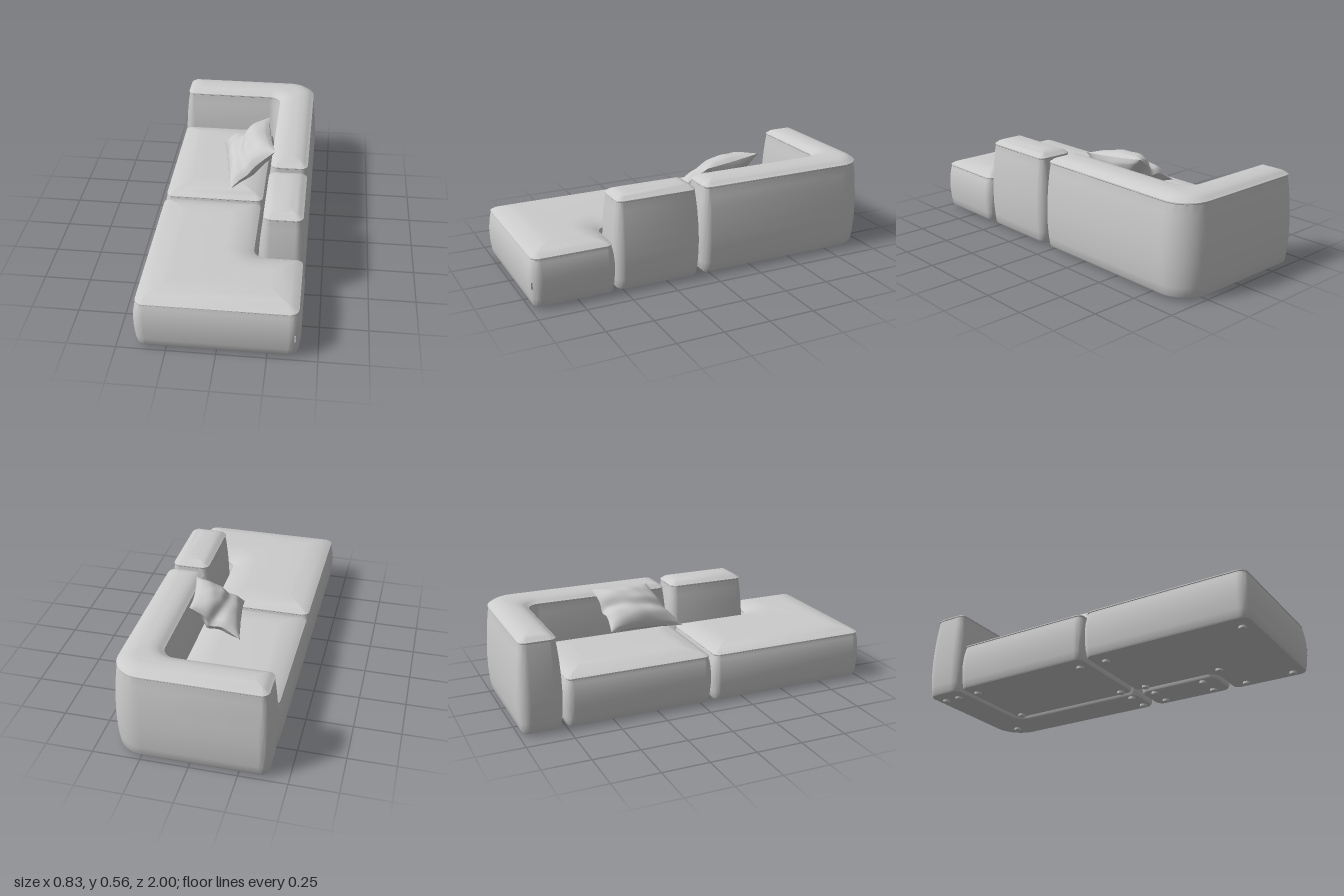
import * as THREE from 'three';
import { toCreasedNormals } from 'three/addons/utils/BufferGeometryUtils.js';

const material = new THREE.MeshStandardMaterial({ color: 0xcccccc });
const STEPS = 10; // segments per rounded corner

// Inset a right-angled outline of [x, z, radius] corners by d and round its corners.
// The corners run counterclockwise seen from above; the result is in (x, -z).
function ring(corners, d) {
  const pts = corners.map(([x, z]) => new THREE.Vector2(x, -z));
  const n = pts.length;
  const inward = pts.map((p, i) => {
    const e = pts[(i + 1) % n].clone().sub(p).normalize();
    return new THREE.Vector2(-e.y, e.x);
  });
  const out = [];
  pts.forEach((p, i) => {
    const a = inward[(i + n - 1) % n], b = inward[i];
    const sign = a.cross(b) > 0 ? 1 : -1; // convex or concave corner
    const r = Math.max(corners[i][2] - sign * d, 0.006);
    const c = p.clone().addScaledVector(a, d + sign * r).addScaledVector(b, d + sign * r);
    for (let k = 0; k <= STEPS; k++) {
      const t = (k / STEPS) * Math.PI / 2;
      out.push(c.clone().addScaledVector(a, -sign * r * Math.cos(t))
        .addScaledVector(b, -sign * r * Math.sin(t)));
    }
  });
  return out;
}

// Upholstered block: the outline lofted through a profile of [inset, height].
function block(name, corners, profile) {
  const rings = profile.map(([d]) => ring(corners, d));
  const m = rings[0].length;
  const positions = [], index = [];
  rings.forEach((r, k) => r.forEach((p) => positions.push(p.x, profile[k][1], -p.y)));
  for (let k = 0; k < rings.length - 1; k++) {
    for (let i = 0; i < m; i++) {
      const j = (i + 1) % m;
      const a = k * m + i, b = k * m + j, c = b + m, d = a + m;
      index.push(a, b, c, a, c, d);
    }
  }
  const top = (rings.length - 1) * m;
  for (const [a, b, c] of THREE.ShapeUtils.triangulateShape(rings[0], [])) index.push(a, c, b);
  for (const [a, b, c] of THREE.ShapeUtils.triangulateShape(rings[rings.length - 1], [])) {
    index.push(top + a, top + b, top + c);
  }
  const geo = new THREE.BufferGeometry();
  geo.setAttribute('position', new THREE.Float32BufferAttribute(positions, 3));
  geo.setIndex(index);
  const mesh = new THREE.Mesh(toCreasedNormals(geo, 0.6), material);
  mesh.name = name;
  return mesh;
}

// Bulging walls, a piped seam, then a soft domed top
const lowProfile = [
  [0.035, 0.012], [0.018, 0.015], [0.012, 0.025], [0.006, 0.06], [0.001, 0.11], [0, 0.16],
  [0.004, 0.21], [0.012, 0.25], [0.017, 0.265], [0.014, 0.268], [0.014, 0.273], [0.02, 0.276],
  [0.035, 0.284], [0.06, 0.293], [0.09, 0.301], [0.125, 0.307], [0.16, 0.309],
];
const tallProfile = [
  [0.035, 0.012], [0.018, 0.015], [0.012, 0.025], [0.006, 0.07], [0.001, 0.14], [0, 0.21],
  [0.003, 0.29], [0.009, 0.37], [0.017, 0.44], [0.024, 0.485], [0.021, 0.488], [0.021, 0.494],
  [0.028, 0.497], [0.04, 0.507], [0.06, 0.516], [0.08, 0.521], [0.104, 0.524],
];

const cornerBack = [
  [0.165, 0.055, 0.06], [0.41, 0.055, 0.06], [0.41, -1, 0.17],
  [-0.412, -1, 0.06], [-0.412, -0.765, 0.06], [0.165, -0.765, 0.05],
];
const seat = [
  [-0.413, 0.06, 0.05], [0.16, 0.06, 0.05], [0.16, -0.765, 0.05], [-0.413, -0.765, 0.05],
];
const armBlock = [
  [0.163, 0.55, 0.06], [0.41, 0.55, 0.06], [0.41, 0.06, 0.06], [0.163, 0.06, 0.06],
];
const chaise = [
  [-0.413, 1, 0.06], [0.413, 1, 0.06], [0.413, 0.545, 0.05],
  [0.155, 0.545, 0.05], [0.155, 0.06, 0.05], [-0.413, 0.06, 0.05],
];

// Throw pillow: two bulged faces on a slanted patch, with a chopped fold
function pillow() {
  const group = new THREE.Group();
  group.name = 'throwPillow';
  const lowBack = new THREE.Vector3(-0.12, 0.385, -0.41);
  const lowFront = new THREE.Vector3(-0.04, 0.335, 0.045);
  const highBack = new THREE.Vector3(0.145, 0.552, -0.425);
  const highFront = new THREE.Vector3(0.205, 0.53, -0.075);
  const normal = new THREE.Vector3(-0.6, 0.8, 0);
  for (const side of [1, -1]) {
    const geo = new THREE.PlaneGeometry(2, 2, 32, 32);
    const pos = geo.attributes.position;
    for (let i = 0; i < pos.count; i++) {
      const u = pos.getY(i), v = side * pos.getX(i);
      const eu = 1 - u * u, ev = 1 - v * v;
      // edges draw in between the corners
      const s = (u * (1 - 0.09 * ev) + 1) / 2, t = (v * (1 - 0.09 * eu) + 1) / 2;
      const p = lowBack.clone().lerp(lowFront, t)
        .lerp(highBack.clone().lerp(highFront, t), s);
      const fold = Math.exp(-((u + 0.1 + 0.15 * v) ** 2) / 0.05) * (0.25 + 0.375 * (1 - v));
      const wrinkle = 0.006 * Math.sin(7 * u + 4 * v) * Math.sin(5 * v - 3 * u);
      const bulge = Math.pow(eu * ev, 0.55) * (0.08 + wrinkle);
      p.addScaledVector(normal, side * bulge - 0.035 * fold);
      pos.setXYZ(i, p.x, Math.max(p.y, 0.306), p.z);
    }
    geo.computeVertexNormals();
    const mesh = new THREE.Mesh(geo, material);
    mesh.name = side > 0 ? 'pillowFront' : 'pillowBack';
    group.add(mesh);
  }
  return group;
}

export function createModel() {
  const model = new THREE.Group();
  model.name = 'modularSofa';
  model.add(
    block('cornerBackrest', cornerBack, tallProfile),
    block('seat', seat, lowProfile),
    block('armBlock', armBlock, tallProfile),
    block('chaise', chaise, lowProfile),
    pillow(),
  );

  // Round feet as [x, z]
  const feet = new THREE.Group();
  feet.name = 'feet';
  const spots = [
    [-0.31, 0.92], [0.34, 0.92], [0.34, 0.65], [0.1, 0.6], [0.1, 0.15], [-0.31, 0.15],
    [-0.31, -0.01], [0.1, -0.01], [0.1, -0.7], [-0.31, -0.7],
    [0.21, 0.15], [0.34, 0.15], [0.21, 0.45], [0.34, 0.45],
    [0.21, 0], [0.34, 0], [0.285, -0.87], [-0.31, -0.84], [-0.31, -0.93],
  ];
  const footGeo = new THREE.CylinderGeometry(0.021, 0.019, 0.018, 20);
  for (const [x, z] of spots) {
    const foot = new THREE.Mesh(footGeo, material);
    foot.name = 'foot';
    foot.position.set(x, 0.009, z);
    feet.add(foot);
  }
  model.add(feet);

  // Small blank fabric tab on the chaise front
  const tab = new THREE.Mesh(new THREE.BoxGeometry(0.008, 0.038, 0.02), material);
  tab.name = 'fabricTab';
  tab.position.set(0.385, 0.13, 0.985);
  model.add(tab);
  return model;
}
